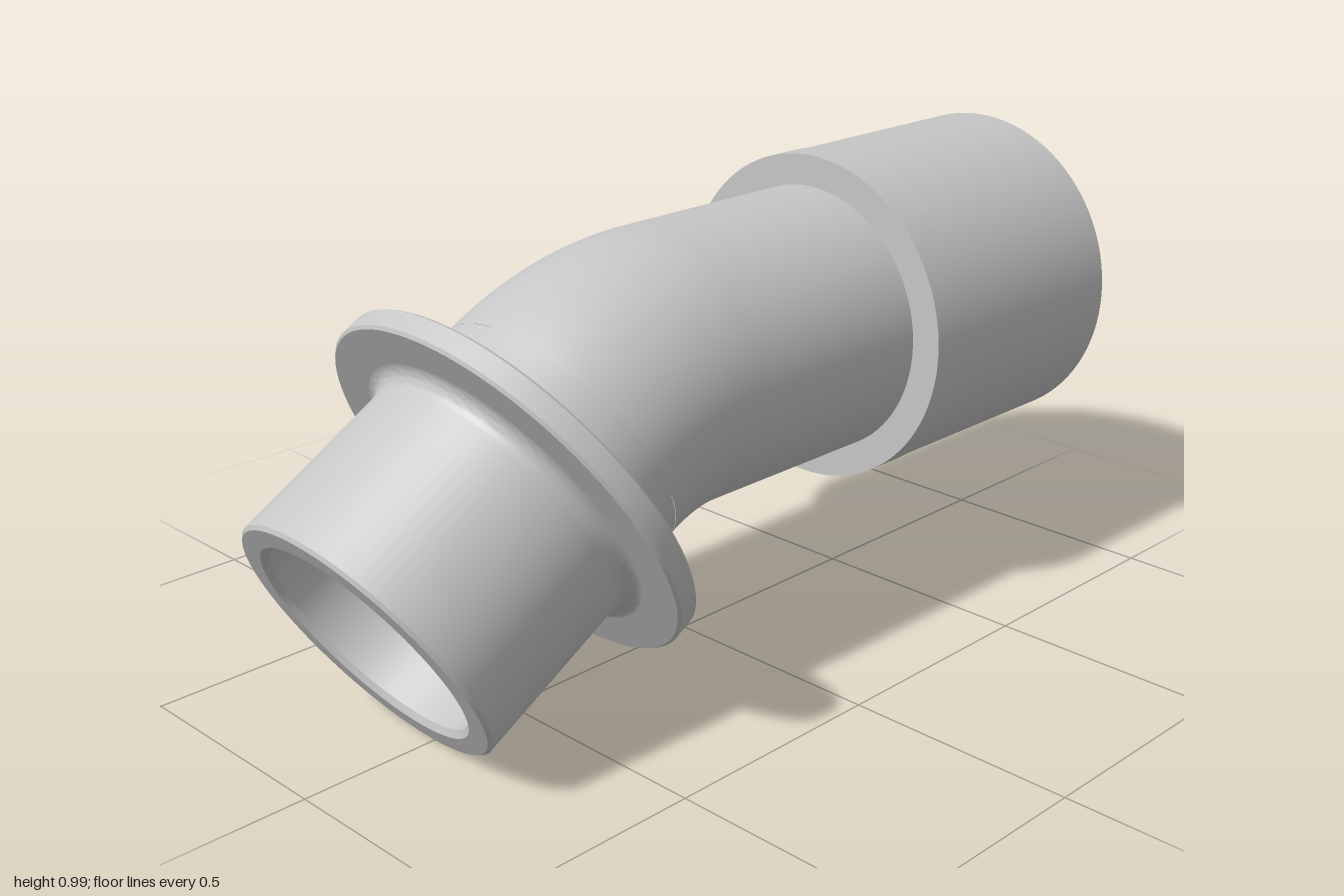
import * as THREE from 'three';
import { toCreasedNormals } from 'three/addons/utils/BufferGeometryUtils.js';

const SEG = 96;
const BORE = 0.245, PIPE = 0.297;      // inner and outer pipe radius
const BEND_R = 0.57, BEND = Math.PI / 6;

export function createModel() {
  const grey = new THREE.MeshStandardMaterial({ color: 0xc6c6c6, side: THREE.DoubleSide });
  grey.name = 'light grey';
  const model = new THREE.Group();
  model.name = 'pipeElbow';

  const add = (parent, name, geometry) => {
    const mesh = new THREE.Mesh(geometry, grey);
    mesh.name = name;
    parent.add(mesh);
    return mesh;
  };
  // Turned part from [radius, distance along axis] points
  const turned = (parent, name, points) => add(parent, name, toCreasedNormals(
    new THREE.LatheGeometry(points.map(([r, y]) => new THREE.Vector2(r, y)), SEG), 0.5));
  // Concave quarter round about centre (r, y), from angle a to angle b
  const fillet = (r, y, radius, a, b) => Array.from({ length: 9 }, (_, i) => {
    const t = a + (b - a) * i / 8;
    return [r + radius * Math.cos(t), y + radius * Math.sin(t)];
  });

  // Straight arm along +x
  const arm = new THREE.Group();
  arm.name = 'straightArm';
  arm.position.y = 0.63;
  arm.rotation.z = -Math.PI / 2;
  model.add(arm);
  turned(arm, 'straightPipe', [[PIPE, -0.07], [PIPE, 0.39]]);
  turned(arm, 'socketCollar', [
    [PIPE, 0.39], [0.365, 0.39], [0.365, 0.47], [0.363, 0.47], [0.363, 1],
    [0.344, 1], [0.319, 0.5], [0.294, 0.5],
  ]);
  turned(arm, 'innerSleeve', [
    [0.294, 0.5], [0.294, 0.91], [0.277, 0.97], [BORE, 0.97], [BORE, -0.07],
  ]);

  // Bend: outer wall and reversed inner wall
  const bend = new THREE.Group();
  bend.name = 'bend';
  bend.position.set(-0.07, 0.63 - BEND_R, 0);
  bend.rotation.z = Math.PI / 2;
  model.add(bend);
  add(bend, 'bendOuter', new THREE.TorusGeometry(BEND_R, PIPE, SEG, 24, BEND));
  const inner = new THREE.TorusGeometry(BEND_R, BORE, SEG, 24, BEND);
  inner.index.array.reverse();
  const normals = inner.attributes.normal;
  for (let i = 0; i < normals.array.length; i++) normals.array[i] *= -1;
  add(bend, 'bendInner', inner);

  // Tilted arm, measured from its open end
  const tilted = new THREE.Group();
  tilted.name = 'tiltedArm';
  tilted.position.set(-0.847, 0.27, 0);
  tilted.rotation.z = -Math.PI / 3;
  model.add(tilted);
  const H = Math.PI / 2, back = 0.4, front = 0.455, f1 = 0.035, f2 = 0.055;
  turned(tilted, 'spigot', [
    [BORE, 0.567], [BORE, 0.012], [0.257, 0], [0.302, 0], [0.309, 0.007],
    ...fillet(0.309 + f1, back - f1, f1, 2 * H, H),
  ]);
  turned(tilted, 'flange', [
    [0.309 + f1, back], [0.431, back], [0.437, back + 0.006],
    [0.437, front - 0.006], [0.431, front], [PIPE + f2, front],
  ]);
  turned(tilted, 'flangeFillet', [
    ...fillet(PIPE + f2, front + f2, f2, 3 * H, 2 * H), [PIPE, 0.567],
  ]);
  return model;
}
